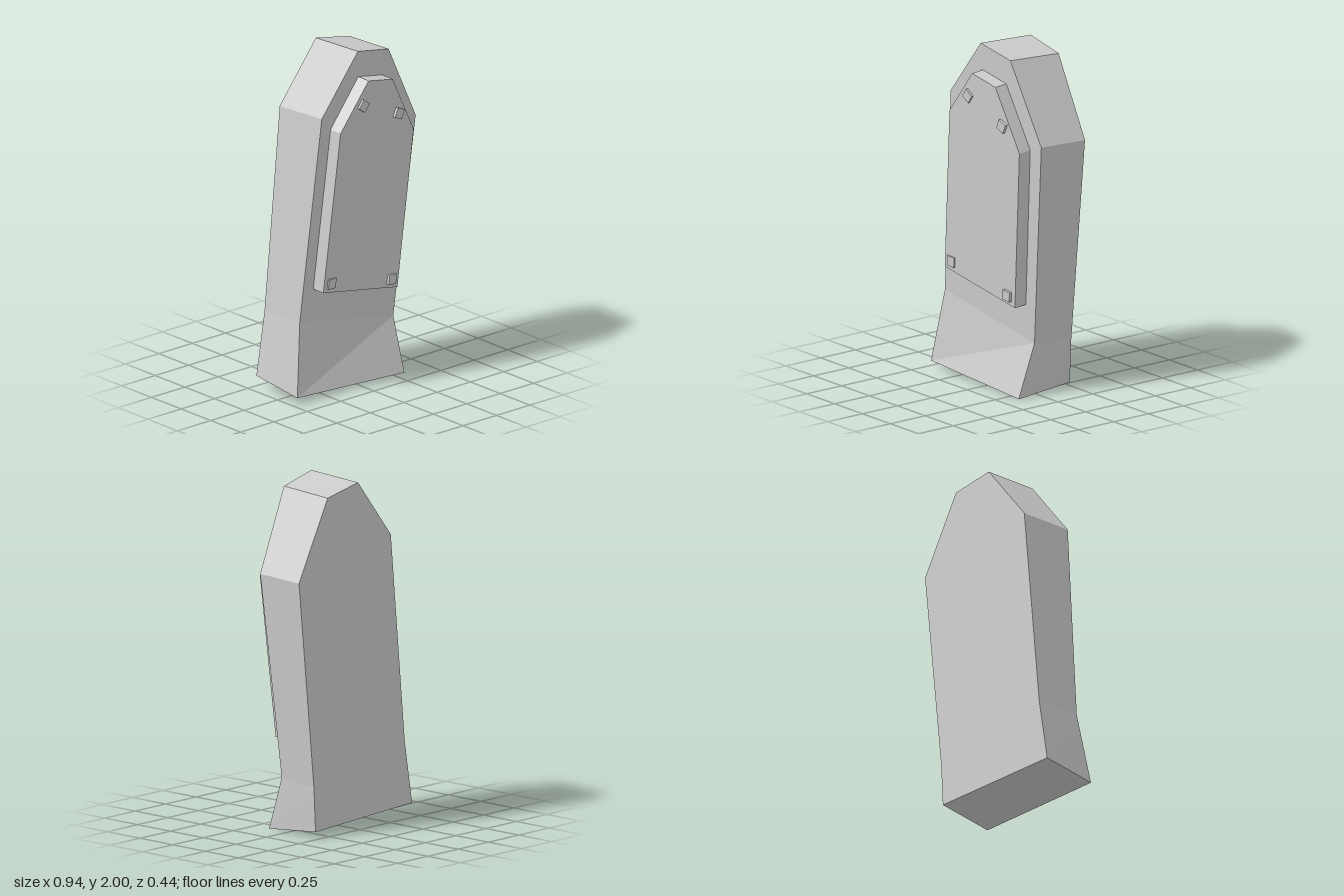
import * as THREE from 'three';

const material = new THREE.MeshStandardMaterial({ color: 0xcccccc, flatShading: true });

// Closed solid between two matching outlines (counter-clockwise from the front).
// frontFaces lists the corner loops that make up the front.
function loft(name, front, back, frontFaces) {
  const n = front.length;
  const points = [...front, ...back];
  const index = [];
  const cap = (loop, offset, flip) => {
    const flat = loop.map(i => new THREE.Vector2(...points[i + offset]));
    for (const [a, b, c] of THREE.ShapeUtils.triangulateShape(flat, [])) {
      const t = [a, b, c].map(k => loop[k] + offset);
      index.push(...(flip ? t.reverse() : t));
    }
  };
  frontFaces.forEach(loop => cap(loop, 0, false));
  cap(front.map((_, i) => i), n, true);
  for (let i = 0; i < n; i++) {
    const j = (i + 1) % n;
    index.push(i, i + n, j + n, i, j + n, j);
  }
  const geometry = new THREE.BufferGeometry();
  geometry.setAttribute('position', new THREE.Float32BufferAttribute(points.flat(), 3));
  geometry.setIndex(index);
  const flatGeometry = geometry.toNonIndexed();
  flatGeometry.computeVertexNormals();
  const mesh = new THREE.Mesh(flatGeometry, material);
  mesh.name = name;
  return mesh;
}

export function createModel() {
  const group = new THREE.Group();
  group.name = 'leaningSlab';

  // Leaning slab with a flared foot and a pointed top
  const slabFront = [
    [-0.47, 0.04, 0.133], [0.325, 0, 0.14],
    [0.335, 0.31, 0.035], [0.458, 1.49, 0.085],
    [0.225, 1.95, 0.12], [-0.02, 2, 0.137],
    [-0.29, 1.66, 0.136], [-0.408, 0.46, 0.083],
  ];
  const slabBack = [
    [-0.463, 0.075, -0.22], [0.332, 0.035, -0.22],
    [0.345, 0.29, -0.22], [0.468, 1.48, -0.22],
    [0.232, 1.932, -0.22], [-0.018, 1.982, -0.22],
    [-0.288, 1.642, -0.22], [-0.402, 0.445, -0.22],
  ];
  group.add(loft('slab', slabFront, slabBack, [[0, 1, 2, 7], [2, 3, 4, 5, 6, 7]]));

  // Raised panel, its rear sunk into the slab
  const panelFront = [
    [-0.305, 0.635, 0.166], [0.28, 0.52, 0.132], [0.368, 1.45, 0.17],
    [0.187, 1.8, 0.197], [-0.005, 1.84, 0.21], [-0.212, 1.575, 0.207],
  ];
  const panelBack = panelFront.map(([x, y, z]) => [x - 0.006, y + 0.005, z - 0.1]);
  group.add(loft('panel', panelFront, panelBack, [[0, 1, 2, 3, 4, 5]]));

  // Small square studs near the panel corners: x, y, z, turn
  const studs = [
    [-0.043, 1.7, 0.204, 0.95], [0.238, 1.583, 0.186, -0.42 + Math.PI / 2],
    [-0.245, 0.678, 0.161, -0.08], [0.226, 0.583, 0.14, -0.12],
  ];
  for (const [x, y, z, turn] of studs) {
    const stud = new THREE.Mesh(new THREE.BoxGeometry(0.058, 0.058, 0.028), material);
    stud.name = 'stud';
    stud.position.set(x, y, z);
    stud.rotation.set(0.045, 0.05, turn);
    group.add(stud);
  }
  return group;
}
